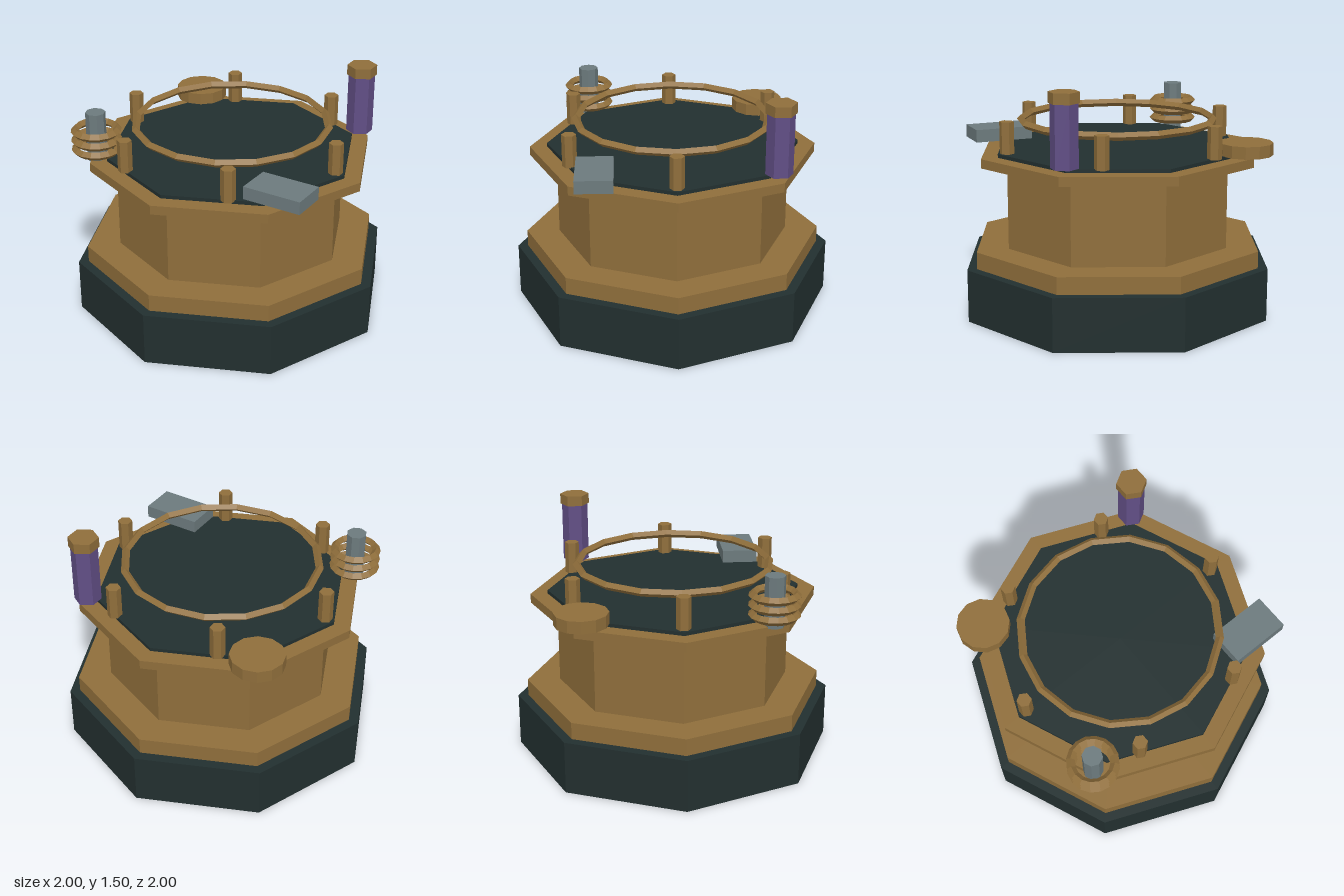
import * as THREE from 'three';

export function createModel() {
  const model = new THREE.Group();
  model.name = 'octagonalDevice';

  const material = (name, color) => {
    const m = new THREE.MeshStandardMaterial({ color, flatShading: true });
    m.name = name;
    return m;
  };
  const brass = material('brass', 0x8f6e3b);
  const darkIron = material('darkIron', 0x222f2f);
  const steel = material('steel', 0x6c7a7d);
  const violet = material('violet', 0x614e85);

  const add = (name, geometry, mat, x, y, z, parent = model) => {
    const mesh = new THREE.Mesh(geometry, mat);
    mesh.name = name;
    mesh.position.set(x, y, z);
    parent.add(mesh);
    return mesh;
  };
  // Upright prism from y0 to y1
  const prism = (name, mat, r, sides, y0, y1, x = 0, z = 0, parent = model) =>
    add(name, new THREE.CylinderGeometry(r, r, y1 - y0, sides), mat, x, (y0 + y1) / 2, z, parent);
  // Horizontal ring with a diamond section
  const ring = (name, r, tube, segments, x, y, z, parent = model) =>
    add(name, new THREE.TorusGeometry(r, tube, 4, segments).rotateX(Math.PI / 2), brass, x, y, z, parent);

  // Stacked octagonal body
  prism('base', darkIron, 1, 8, 0, 0.333);
  prism('plinth', brass, 0.937, 8, 0.333, 0.44);
  prism('column', brass, 0.73, 8, 0.44, 0.965);
  prism('rim', brass, 0.895, 8, 0.965, 1.022);
  prism('topPlate', darkIron, 0.788, 8, 1.022, 1.044);

  // Guard rail and its six posts
  ring('guardRing', 0.603, 0.025, 16, 0, 1.21, 0);
  const posts = new THREE.Group();
  posts.name = 'posts';
  model.add(posts);
  for (let i = 0; i < 6; i++) {
    const a = (i * Math.PI) / 3;
    prism('post', brass, 0.045, 6, 1.04, 1.242, 0.728 * Math.cos(a), 0.728 * Math.sin(a), posts);
  }

  // Coil around a steel core
  const coil = new THREE.Group();
  coil.name = 'coil';
  model.add(coil);
  prism('coilCore', steel, 0.062, 8, 1.012, 1.325, -0.645, 0.538, coil);
  for (const y of [1.086, 1.146, 1.206]) ring('coilTurn', 0.13, 0.026, 16, -0.645, y, 0.538, coil);

  // Round dial
  prism('dial', brass, 0.164, 12, 1.042, 1.118, -0.604, -0.585);

  // Violet tube with brass cap
  prism('tube', violet, 0.083, 6, 1.062, 1.44, 0.584, -0.604);
  prism('tubeCap', brass, 0.093, 6, 1.44, 1.505, 0.584, -0.604);

  // Steel block overhanging the rim
  add('block', new THREE.BoxGeometry(0.37, 0.08, 0.225), steel, 0.624, 1.09, 0.477);

  return model;
}
